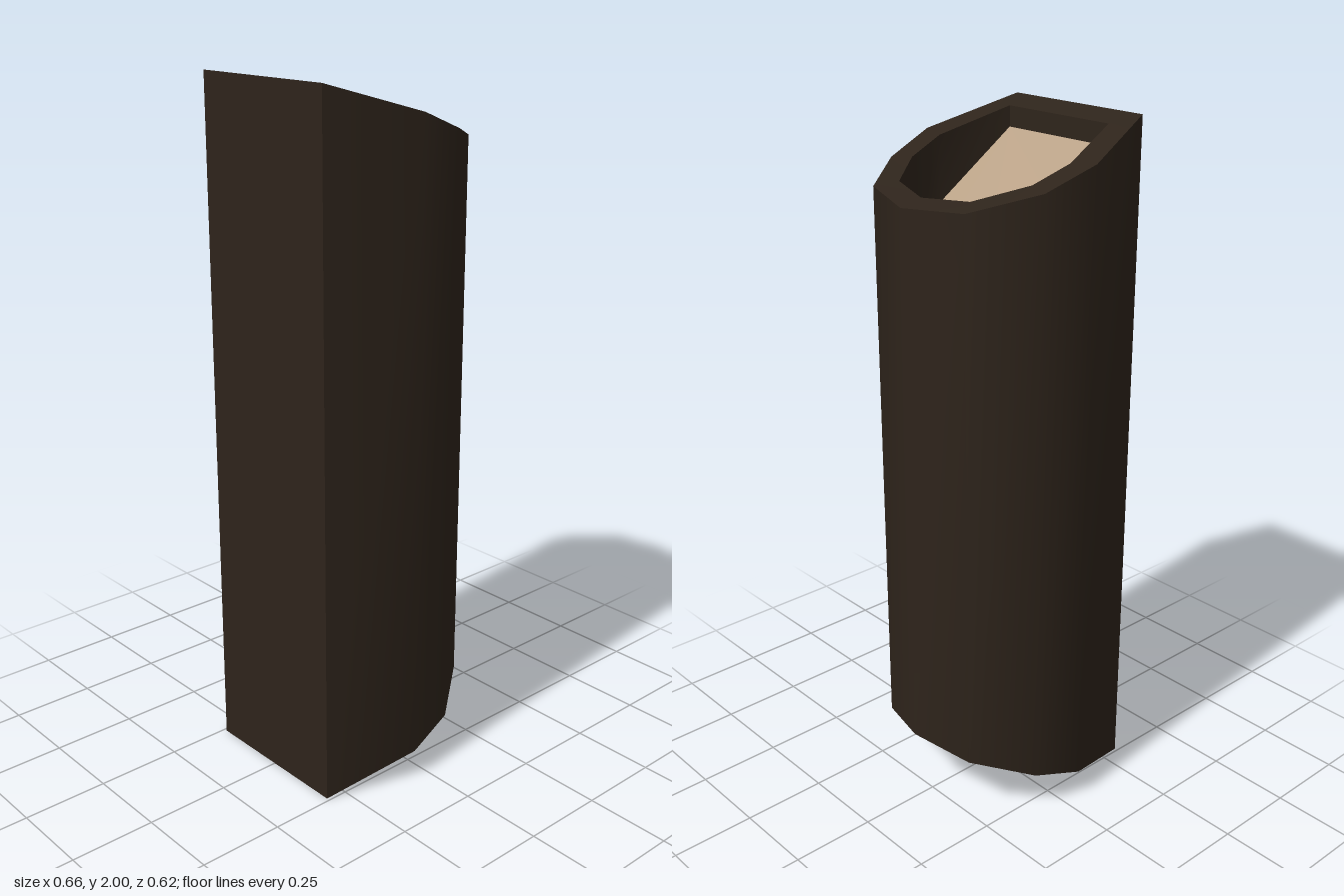
import * as THREE from 'three';
import { toCreasedNormals } from 'three/addons/utils/BufferGeometryUtils.js';

// Plan outlines [x, z], counter-clockwise seen from above, starting at the flat front
const OUTER = [[0.24, 0.31], [0.33, 0.05], [0.302, -0.102], [0.19, -0.252], [0, -0.313],
  [-0.19, -0.266], [-0.302, -0.102], [-0.33, 0.05], [-0.24, 0.31]];
const INNER = [[0.19, 0.235], [0.255, 0.032], [0.236, -0.082], [0.147, -0.199], [0, -0.246],
  [-0.147, -0.209], [-0.236, -0.082], [-0.255, 0.032], [-0.19, 0.235]];

// Heights of the slanted ends, interpolated along z: [z, bottom, top]
const SLANT = [[-0.313, 0.225, 1.81], [-0.2, 0.17, 1.837], [-0.1, 0.135, 1.865],
  [0.05, 0.09, 1.92], [0.24, 0.02, 1.98], [0.31, 0, 2]];

function rimHeight(z, column) {
  let i = 0;
  while (i < SLANT.length - 2 && z > SLANT[i + 1][0]) i++;
  const a = SLANT[i], b = SLANT[i + 1];
  return THREE.MathUtils.mapLinear(z, a[0], b[0], a[column], b[column]);
}
const bottomRim = z => rimHeight(z, 1);
const topRim = z => rimHeight(z, 2);
// The core ends slope more steeply than the rims
const coreTop = z => 1.92 + 0.95 * (z - 0.235);
const coreBottom = z => 0.08 - 0.95 * (z - 0.235);

const ring = (outline, height) => outline.map(([x, z]) => [x, height(z), z]);

function geometryFrom(triangles) {
  const geometry = new THREE.BufferGeometry();
  geometry.setAttribute('position', new THREE.Float32BufferAttribute(triangles.flat(2), 3));
  return toCreasedNormals(geometry, THREE.MathUtils.degToRad(50));
}

function loft(rings) {
  const triangles = [];
  for (let r = 0; r < rings.length - 1; r++) {
    const a = rings[r], b = rings[r + 1];
    a.forEach((p, i) => {
      const j = (i + 1) % a.length;
      triangles.push([p, a[j], b[j]], [p, b[j], b[i]]);
    });
  }
  return geometryFrom(triangles);
}

function cap(points) {
  const triangles = [];
  for (let i = 1; i < points.length - 1; i++) triangles.push([points[0], points[i], points[i + 1]]);
  return geometryFrom(triangles);
}

export function createModel() {
  const group = new THREE.Group();
  const bark = new THREE.MeshStandardMaterial({ color: 0x2e241b });
  const wood = new THREE.MeshStandardMaterial({ color: 0xb8a085 });
  const add = (name, geometry, material) => {
    const mesh = new THREE.Mesh(geometry, material);
    mesh.name = name;
    group.add(mesh);
  };

  // Dark shell: lower recess, lower rim, outside, upper rim, upper recess
  add('shell', loft([
    ring(INNER, coreBottom), ring(INNER, bottomRim), ring(OUTER, bottomRim),
    ring(OUTER, topRim), ring(INNER, topRim), ring(INNER, coreTop),
  ]), bark);

  // Pale core faces sunk into both ends
  add('upperCore', cap(ring(INNER, coreTop)), wood);
  add('lowerCore', cap(ring(INNER, coreBottom).reverse()), wood);
  return group;
}
